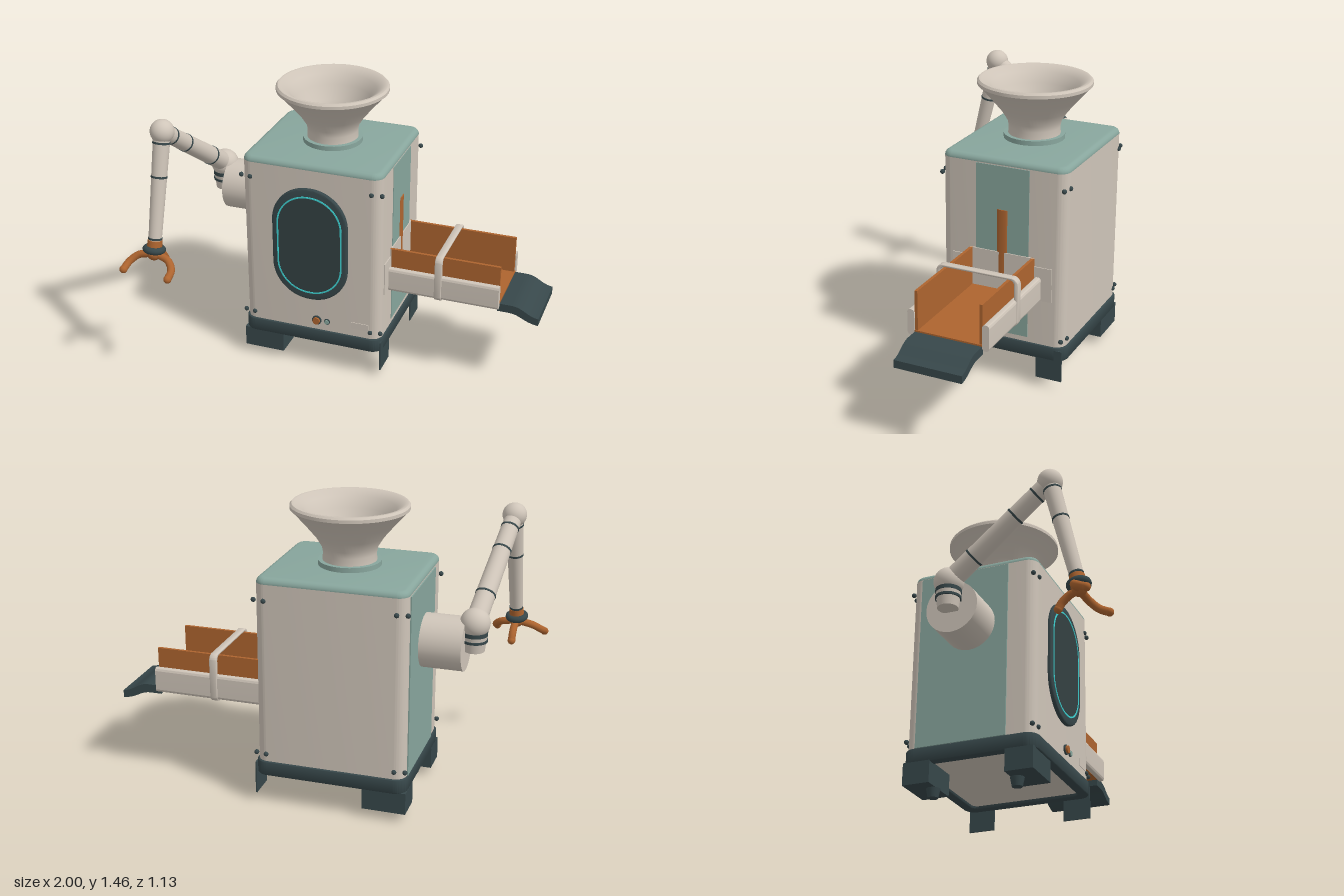
import * as THREE from 'three';
import { toCreasedNormals } from 'three/addons/utils/BufferGeometryUtils.js';

const CX = -0.147, CZ = -0.228; // centre of the cabinet
const V = (x, y, z) => new THREE.Vector3(x, y, z);

function mat(name, color, side = THREE.FrontSide) {
  const m = new THREE.MeshStandardMaterial({ color, side });
  m.name = name;
  return m;
}

// Rounded rectangle centred on the origin
function roundRect(w, h, r, Type = THREE.Shape) {
  const s = new Type(), x = w / 2, y = h / 2;
  s.absarc(x - r, y - r, r, 0, Math.PI / 2);
  s.absarc(-x + r, y - r, r, Math.PI / 2, Math.PI);
  s.absarc(-x + r, -y + r, r, Math.PI, Math.PI * 1.5);
  s.absarc(x - r, -y + r, r, Math.PI * 1.5, Math.PI * 2);
  s.closePath();
  return s;
}

function extrude(shape, depth, bevel = 0) {
  const g = new THREE.ExtrudeGeometry(shape, {
    depth: depth - 2 * bevel, curveSegments: 12, bevelEnabled: bevel > 0,
    bevelSize: bevel, bevelThickness: bevel, bevelOffset: -bevel, bevelSegments: 4,
  });
  g.translate(0, 0, bevel);
  return toCreasedNormals(g, 0.6);
}

export function createModel() {
  const root = new THREE.Group();
  root.name = 'machine';
  const cream = mat('cream', 0xcfc5b9), teal = mat('sage', 0x88a69d);
  const dark = mat('slate', 0x37474a), orange = mat('copper', 0xad642f);
  const cyan = mat('cyan', 0x3fd6d6), glass = mat('glass', 0x344143);
  const bowl = mat('funnelCream', 0xcfc5b9, THREE.DoubleSide);

  const add = (name, geo, m, x = 0, y = 0, z = 0, parent = root) => {
    const mesh = new THREE.Mesh(geo, m);
    mesh.name = name;
    mesh.position.set(x, y, z);
    parent.add(mesh);
    return mesh;
  };
  // Box given by its minimum and maximum corners
  const box = (name, m, x0, x1, y0, y1, z0, z1) => add(name,
    new THREE.BoxGeometry(x1 - x0, y1 - y0, z1 - z0), m, (x0 + x1) / 2, (y0 + y1) / 2, (z0 + z1) / 2);
  // Upright slab of rounded plan, centred on the cabinet
  const slab = (name, m, shape, y, h, bevel) =>
    add(name, extrude(shape, h, bevel).rotateX(-Math.PI / 2), m, CX, y, CZ);
  // Round rod between two points
  const rod = (name, m, a, b, ra, rb) => {
    const mesh = add(name, new THREE.CylinderGeometry(rb, ra, a.distanceTo(b), 28), m);
    mesh.position.copy(a).lerp(b, 0.5);
    mesh.quaternion.setFromUnitVectors(V(0, 1, 0), b.clone().sub(a).normalize());
    return mesh;
  };

  // Cabinet, cap and base frame
  slab('cabinet', cream, roundRect(0.738, 0.655, 0.055), 0.165, 0.96);
  slab('topCap', teal, roundRect(0.738, 0.655, 0.055), 1.1, 0.053, 0.028);
  const frame = roundRect(0.755, 0.675, 0.06);
  frame.holes.push(roundRect(0.65, 0.57, 0.03, THREE.Path));
  slab('baseFrame', dark, frame, 0.15, 0.074, 0.008);

  // Side panels
  box('leftPanel', teal, 0.22, 0.225, 0.25, 1.12, -0.368, -0.088);
  box('rightPanel', teal, -0.522, -0.515, 0.225, 1.12, -0.5, -0.04);

  // Feet on one side, thin skirt plates on the other
  for (const [z0, z1, pz] of [[-0.04, 0.1, -0.015], [-0.555, -0.418, -0.44]]) {
    box('footBlock', dark, -0.525, -0.31, 0.045, 0.155, z0, z1);
    add('footPeg', new THREE.CylinderGeometry(0.034, 0.025, 0.045, 20), dark, -0.43, 0.0225, pz);
    box('skirtPlate', dark, 0.223, 0.23, 0.045, 0.21, z0, z1);
  }

  // Bolts around the corners
  const boltGeo = new THREE.SphereGeometry(0.012, 14, 10);
  for (const y of [0.262, 1.045]) {
    for (const x of [-0.467, 0.172]) for (const z of [-0.556, 0.1]) add('bolt', boltGeo, dark, x, y, z);
    for (const x of [-0.518, 0.224]) for (const z of [-0.546, 0.092]) add('bolt', boltGeo, dark, x, y, z);
  }

  // Oval window with a lit outline
  const wx = -0.149, wy = 0.717;
  add('windowFrame', extrude(roundRect(0.4, 0.625, 0.195), 0.028, 0.008), dark, wx, wy, 0.09);
  const line = roundRect(0.346, 0.546, 0.168);
  line.holes.push(roundRect(0.33, 0.53, 0.16, THREE.Path));
  add('windowGlow', extrude(line, 0.004), cyan, wx, wy, 0.117);
  add('windowGlass', extrude(roundRect(0.33, 0.53, 0.16), 0.002), glass, wx, wy, 0.117);

  // Buttons and small plate
  const knob = (name, r, len, m, x) =>
    add(name, new THREE.CylinderGeometry(r, r, len, 24).rotateX(Math.PI / 2), m, x, 0.28, 0.1 + len / 2);
  knob('buttonRing', 0.025, 0.008, dark, -0.118);
  knob('mainButton', 0.019, 0.018, orange, -0.118);
  knob('smallButtonRing', 0.016, 0.006, dark, -0.062);
  knob('smallButton', 0.012, 0.012, teal, -0.062);
  box('smallPlate', cream, 0.07, 0.165, 0.268, 0.305, 0.098, 0.103);

  // Funnel with collar
  add('funnelCollar', new THREE.CylinderGeometry(0.152, 0.152, 0.024, 48), teal, CX, 1.172, CZ);
  const profile = [[0.13, 1.184], [0.128, 1.22], [0.134, 1.25], [0.165, 1.3], [0.215, 1.36], [0.268, 1.42],
    [0.284, 1.434], [0.284, 1.45], [0.275, 1.46], [0.262, 1.46], [0.218, 1.432], [0.19, 1.38],
    [0.15, 1.31], [0.115, 1.25], [0.108, 1.186]].map(p => new THREE.Vector2(...p));
  add('funnel', toCreasedNormals(new THREE.LatheGeometry(profile, 56), 0.7), bowl, CX, 0, CZ);
  add('funnelFloor', new THREE.CircleGeometry(0.115, 32).rotateX(-Math.PI / 2), teal, CX, 1.188, CZ);

  // Chute: tray, walls, rails and strap
  box('chuteFloor', orange, 0.22, 0.8, 0.465, 0.483, -0.4, -0.057);
  for (const s of [-1, 1]) {
    const z = -0.2285 + s * 0.164;
    box('chuteWall', orange, 0.22, 0.795, 0.47, 0.68, z - 0.0075, z + 0.0075);
    const rail = add('chuteRail', extrude(roundRect(0.036, 0.13, 0.016), 0.58).rotateY(Math.PI / 2), cream,
      0.22, 0.52, -0.2285 + s * 0.19);
    rail.name = s > 0 ? 'frontChuteRail' : 'backChuteRail';
  }
  const strap = roundRect(0.425, 0.25, 0.035);
  strap.holes.push(roundRect(0.385, 0.226, 0.025, THREE.Path));
  add('chuteStrap', extrude(strap, 0.038, 0.005).rotateY(Math.PI / 2), cream, 0.468, 0.567, -0.2285);
  box('chuteBackPlate', cream, 0.22, 0.23, 0.47, 0.68, -0.4, -0.057);
  box('chuteFlange', cream, 0.22, 0.227, 0.463, 0.637, -0.492, 0.038);

  // Curved lip at the end of the chute
  const lip = new THREE.Shape();
  lip.moveTo(0.79, 0.475);
  lip.lineTo(0.86, 0.475);
  lip.bezierCurveTo(0.92, 0.475, 0.94, 0.43, 1.0, 0.425);
  lip.lineTo(1.0, 0.386);
  lip.bezierCurveTo(0.92, 0.395, 0.91, 0.43, 0.85, 0.432);
  lip.lineTo(0.79, 0.432);
  lip.closePath();
  add('chuteLip', extrude(lip, 0.342), dark, 0, 0, -0.4);

  // Shallow lever on the side panel
  const lever = add('sideLever', new THREE.CylinderGeometry(0.028, 0.028, 0.34, 24), orange, 0.224, 0.73, -0.228);
  lever.scale.x = 0.25;

  // Shoulder drum and swivel
  rod('shoulderDrum', cream, V(-0.51, 0.82, -0.235), V(-0.725, 0.82, -0.235), 0.131, 0.131);
  const sx = -0.762, sz = -0.235;
  add('shoulderBall', new THREE.SphereGeometry(0.072, 32, 20), cream, sx, 0.93, sz);
  add('swivelRing', new THREE.CylinderGeometry(0.062, 0.062, 0.02, 28), dark, sx, 0.88, sz);
  add('swivelCup', new THREE.CylinderGeometry(0.06, 0.05, 0.08, 28), cream, sx, 0.832, sz);
  add('swivelBand', new THREE.CylinderGeometry(0.062, 0.062, 0.012, 28), dark, sx, 0.845, sz);

  // Arm with dark bands
  const shoulder = V(sx, 0.93, sz), elbow = V(-0.832, 1.316, 0.3), wrist = V(-0.843, 0.785, 0.432);
  rod('upperArm', cream, shoulder, elbow, 0.05, 0.042);
  add('elbowBall', new THREE.SphereGeometry(0.06, 32, 20), cream, elbow.x, elbow.y, elbow.z);
  rod('forearm', cream, elbow, wrist, 0.043, 0.033);
  const band = (a, b, t, r) => {
    const d = b.clone().sub(a).normalize().multiplyScalar(0.005), p = a.clone().lerp(b, t);
    rod('armBand', dark, p.clone().sub(d), p.clone().add(d), r, r);
  };
  for (const t of [0.25, 0.66, 0.87]) band(shoulder, elbow, t, 0.052 - 0.008 * t);
  for (const t of [0.1, 0.41, 0.985]) band(elbow, wrist, t, 0.045 - 0.01 * t);

  // Wrist and three-fingered claw
  const palm = V(-0.847, 0.715, 0.445);
  rod('wrist', orange, wrist, palm, 0.036, 0.04);
  const cuff = add('wristCuff', new THREE.TorusGeometry(0.04, 0.018, 12, 32), dark, -0.846, 0.738, 0.442);
  cuff.quaternion.setFromUnitVectors(V(0, 0, 1), palm.clone().sub(wrist).normalize());
  add('palm', new THREE.SphereGeometry(0.036, 20, 14), orange, palm.x, palm.y, palm.z);
  const fingers = [
    [V(-0.87, 0.71, 0.445), V(-0.93, 0.695, 0.45), V(-0.97, 0.665, 0.48), V(-0.982, 0.64, 0.525)],
    [V(-0.82, 0.71, 0.447), V(-0.765, 0.695, 0.46), V(-0.732, 0.665, 0.495), V(-0.73, 0.64, 0.543)],
    [V(-0.845, 0.71, 0.43), V(-0.842, 0.695, 0.395), V(-0.841, 0.665, 0.36), V(-0.841, 0.637, 0.343)],
  ];
  for (const pts of fingers) {
    add('finger', new THREE.TubeGeometry(new THREE.CatmullRomCurve3(pts), 20, 0.019, 12), orange);
    const tip = pts[3];
    add('fingerTip', new THREE.SphereGeometry(0.02, 16, 12), orange, tip.x, tip.y, tip.z);
  }
  return root;
}
